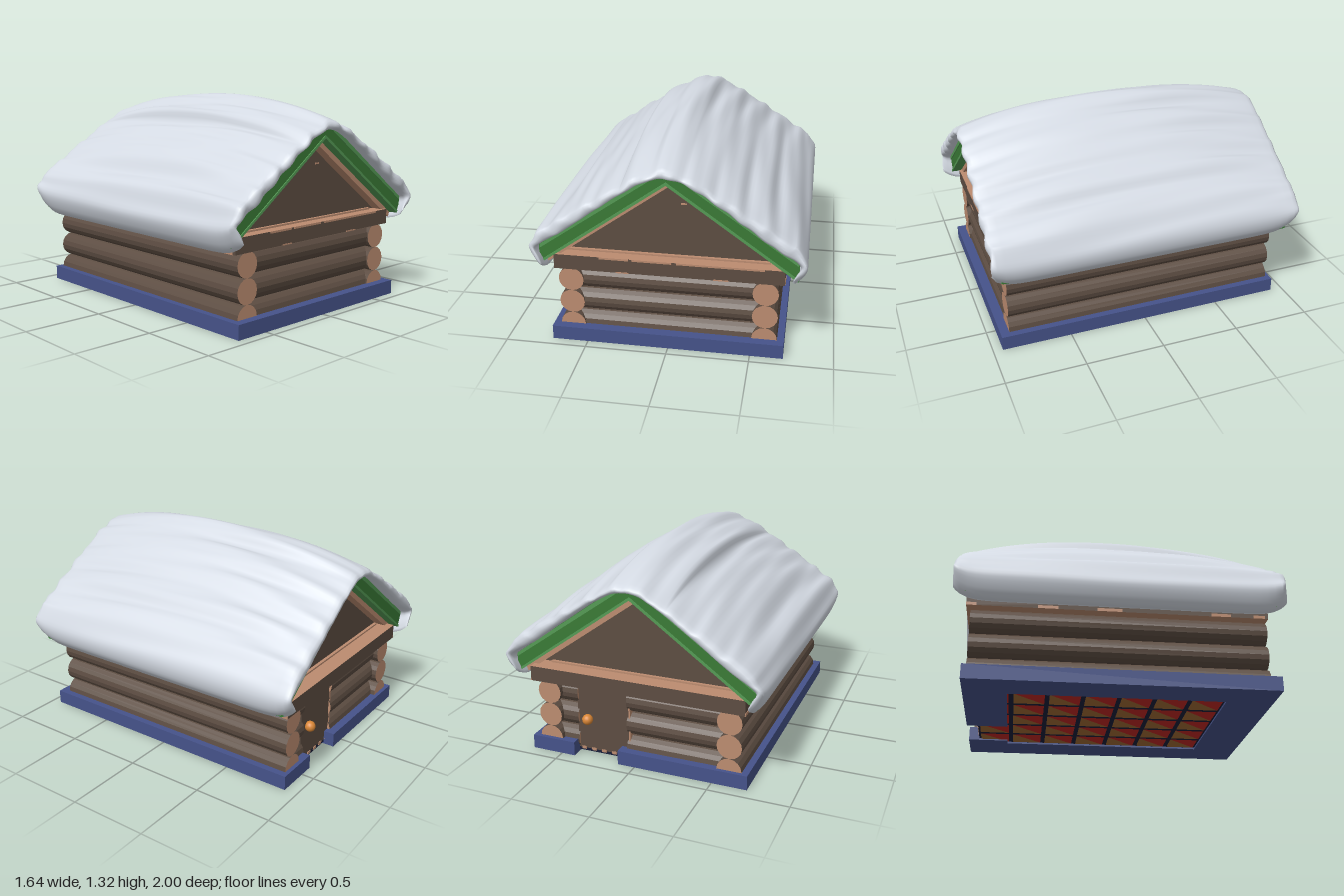
import * as THREE from 'three';

const mat = (name, color) => {
  const m = new THREE.MeshStandardMaterial({ color });
  m.name = name;
  return m;
};

export function createModel() {
  const model = new THREE.Group();
  model.name = 'logCabin';
  const snow = mat('snow', 0xd4dae3), blue = mat('blue', 0x46538a), cutWood = mat('cutWood', 0xbc8c70);
  const brown = mat('brown', 0x5d4d42), green = mat('green', 0x3a7a36), paleGreen = mat('paleGreen', 0x559a55);
  const orange = mat('orange', 0xd98636), red = mat('red', 0xc42823), tan = mat('tan', 0xa46c34);
  const navy = mat('navy', 0x1a1f3a);

  const add = (name, geometry, material, x = 0, y = 0, z = 0) => {
    const mesh = new THREE.Mesh(geometry, material);
    mesh.name = name;
    mesh.position.set(x, y, z);
    model.add(mesh);
    return mesh;
  };
  // box given by its two corners
  const box = (name, material, x0, x1, y0, y1, z0, z1) =>
    add(name, new THREE.BoxGeometry(x1 - x0, y1 - y0, z1 - z0), material,
      (x0 + x1) / 2, (y0 + y1) / 2, (z0 + z1) / 2);
  const shapeOf = pts => new THREE.Shape(pts.map(p => new THREE.Vector2(...p)));
  // prism along z between z0 and z1
  const prism = (name, material, pts, z0, z1) =>
    add(name, new THREE.ExtrudeGeometry(shapeOf(pts), { depth: z1 - z0, bevelEnabled: false }), material, 0, 0, z0);

  // base frame, open at the doorway
  const baseGeo = new THREE.ExtrudeGeometry(shapeOf([
    [0.11, -0.92], [-0.72, -0.92], [-0.72, 0.94], [0.7, 0.94], [0.7, -0.92], [0.41, -0.92],
    [0.41, -0.66], [0.47, -0.66], [0.47, 0.65], [-0.5, 0.65], [-0.5, -0.66], [0.11, -0.66],
  ]), { depth: 0.09, bevelEnabled: false });
  baseGeo.rotateX(Math.PI / 2);
  add('baseFrame', baseGeo, blue, 0, 0.09, 0);

  // floor with two-coloured tiles on its underside, running out to the door
  box('floor', navy, -0.53, 0.5, 0.012, 0.04, -0.85, 0.68);
  const cols = 5, rows = 7, tw = 0.97 / cols, td = 1.5 / rows, a = tw / 2 - 0.014, b = td / 2 - 0.014;
  const halfTile = pts => new THREE.ShapeGeometry(shapeOf(pts)).rotateX(Math.PI / 2);
  const redHalf = halfTile([[-a, -b], [a, b], [-a, b]]);
  const tanHalf = halfTile([[-a, -b], [a, -b], [a, b]]);
  for (let i = 0; i < cols; i++) for (let j = 0; j < rows; j++) {
    const x = -0.5 + (i + 0.5) * tw, z = -0.85 + (j + 0.5) * td;
    add('redTile', redHalf, red, x, 0.008, z);
    add('tanTile', tanHalf, tan, x, 0.008, z);
  }

  // log walls with pale cut ends
  const log = (name, length) => {
    const g = new THREE.CylinderGeometry(0.078, 0.078, length, 16).toNonIndexed();
    g.computeVertexNormals();
    return add(name, g, [brown, cutWood, cutWood]);
  };
  const crossLog = (name, x0, x1, y, z) => {
    const l = log(name, x1 - x0);
    l.rotation.z = Math.PI / 2;
    l.position.set((x0 + x1) / 2, y, z);
  };
  for (const y of [0.09, 0.245, 0.4]) {
    for (const x of [-0.6, 0.58]) {
      const l = log('sideLog', 1.78);
      l.rotation.x = Math.PI / 2;
      l.position.set(x, y, -0.005);
    }
    crossLog('frontLog', -0.6, 0.58, y, 0.8);
    crossLog('backLogLong', -0.6, 0.07, y, -0.79);
    crossLog('backLogShort', 0.4, 0.58, y, -0.79);
  }

  // door, sill pegs and knob on the back
  box('door', brown, 0.06, 0.41, 0.03, 0.47, -0.85, -0.76);
  box('doorJamb', cutWood, 0.052, 0.062, 0.03, 0.47, -0.853, -0.76);
  for (let i = 0; i < 5; i++) box('doorPeg', cutWood, 0.08 + i * 0.07, 0.11 + i * 0.07, 0.022, 0.04, -0.855, -0.76);
  add('doorKnob', new THREE.SphereGeometry(0.034, 16, 12), orange, 0.335, 0.24, -0.87);

  // tie beam layer: brown sides, pale top and underside, worn edges
  box('tieBeams', [brown, brown, cutWood, cutWood, brown, brown], -0.7, 0.69, 0.47, 0.565, -0.92, 0.89);
  for (const [x0, x1] of [[-0.42, -0.24], [-0.22, 0.02], [0.05, 0.57]])
    box('wornBeamTop', cutWood, x0, x1, 0.554, 0.566, 0.88, 0.893);
  for (const [x0, x1] of [[-0.32, -0.24], [0.27, 0.36]])
    box('wornBeamFoot', cutWood, x0, x1, 0.469, 0.476, 0.88, 0.893);
  for (const [z0, z1] of [[0.8, 0.87], [0.54, 0.66], [-0.15, 0], [-0.5, -0.38], [-0.92, -0.86]])
    for (const x of [-0.7, 0.69]) box('wornBeamSide', cutWood, x - 0.003, x + 0.003, 0.469, 0.488, z0, z1);

  // gables and roof layers; cap flattens the ridge under the snow
  const slope = 0.72, cap = 1.14;
  const chevron = (name, material, yIn, yOut, w, zHalf) => {
    const ridge = Math.min(yOut, cap), f = (yOut - ridge) / slope + 0.002;
    prism(name, material, [
      [0, yIn], [w, yIn - slope * w], [w, yOut - slope * w], [f, ridge],
      [-f, ridge], [-w, yOut - slope * w], [-w, yIn - slope * w],
    ], -zHalf, zHalf);
  };
  prism('gables', brown, [[-0.68, 0.56], [0.68, 0.56], [0, 1.06]], -0.8, 0.8);
  for (const z of [-0.81, 0.81]) box('gableSill', cutWood, -0.64, 0.6, 0.56, 0.576, z - 0.01, z + 0.01);
  box('gableFleck', cutWood, 0.065, 0.1, 0.905, 0.915, 0.798, 0.803);
  chevron('gableTrim', cutWood, 1.038, 1.08, 0.75, 0.87);
  chevron('roof', green, 1.078, 1.2, 0.77, 0.93);
  chevron('roofLowerEdge', paleGreen, 1.076, 1.094, 0.765, 0.936);
  for (const s of [-1, 1]) prism('roofUpperEdge', paleGreen,
    [[s * 0.06, 1.122], [s * 0.1, 1.126], [s * 0.765, 0.648], [s * 0.765, 0.626]], -0.936, 0.936);

  add('snowCover', snowGeometry(), snow);
  return model;
}

// Thick snow sheet draped over the roof, lofted along z
function snowGeometry() {
  const curve = pts => new THREE.CatmullRomCurve3(
    pts.map(([x, y]) => new THREE.Vector3(x, y, 0)), false, 'centripetal').getSpacedPoints(110);
  const top = curve([
    [-0.75, 0.48], [-0.785, 0.52], [-0.82, 0.62], [-0.79, 0.69], [-0.75, 0.78], [-0.66, 0.83], [-0.58, 0.93],
    [-0.5, 1.0], [-0.42, 1.05], [-0.33, 1.115], [-0.265, 1.13], [-0.235, 1.215], [-0.1, 1.255], [-0.04, 1.3],
    [0.03, 1.31], [0.09, 1.285], [0.13, 1.235], [0.25, 1.195], [0.31, 1.13], [0.4, 1.08], [0.46, 1.01],
    [0.55, 0.97], [0.61, 0.89], [0.7, 0.83], [0.765, 0.74], [0.815, 0.64], [0.8, 0.55], [0.75, 0.49],
  ]);
  const under = curve([
    [-0.735, 0.48], [-0.75, 0.53], [-0.778, 0.61], [-0.74, 0.665], [-0.6, 0.765], [-0.4, 0.915], [-0.2, 1.055],
    [-0.08, 1.118], [0, 1.13], [0.08, 1.118], [0.2, 1.055], [0.4, 0.915], [0.6, 0.765], [0.74, 0.665],
    [0.778, 0.61], [0.755, 0.54], [0.735, 0.49],
  ]);
  const n = top.length;

  // [z, pinch]: pinch rounds both ends off into a lip
  const sections = [[-1, 1], [-1, 0.55], [-0.985, 0.15]];
  for (let i = 0; i <= 40; i++) sections.push([-0.96 + i * 0.048, 0]);
  sections.push([0.985, 0.15], [0.995, 0.55], [0.995, 1]);

  const pos = [], idx = [], loop = 2 * n;
  for (const [z, pinch] of sections) {
    const end = Math.pow(Math.abs(z), 2.5), lift = 0.08 * Math.pow(Math.abs(z), 16);
    const outer = top.map(p => {
      const lip = Math.min(p.y, 1.245 - 0.64 * Math.sqrt(p.x * p.x + 0.0125));
      const eave = THREE.MathUtils.smoothstep(p.y, 0.5, 0.75);
      // long shallow folds that wander along the roof
      const fold = 0.007 * Math.sin(38 * p.x + 2.2 * Math.sin(2.3 * z + 3 * p.x))
        + 0.004 * Math.sin(71 * p.x - 3 * z);
      return [p.x, THREE.MathUtils.lerp(p.y, lip, end) + fold * eave + lift * (1 - eave)];
    });
    const inner = under.map(p => [p.x, p.y + lift * (1 - THREE.MathUtils.smoothstep(p.y, 0.5, 0.75))]);
    const put = (p, q) => {
      const k = pinch / 2, x = p[0] + (q[0] - p[0]) * k;
      const ripple = z > 0.97 ? 0.008 * Math.sin(48 * x) - 0.004 : 0;
      pos.push(x, p[1] + (q[1] - p[1]) * k, z + ripple);
    };
    for (let i = 0; i < n; i++) put(outer[i], inner[i]);
    for (let i = n - 1; i >= 0; i--) put(inner[i], outer[i]);
  }
  for (let j = 0; j < sections.length - 1; j++) for (let i = 0; i < loop; i++) {
    const p = j * loop + i, q = j * loop + (i + 1) % loop;
    idx.push(p, p + loop, q, q, p + loop, q + loop);
  }
  const g = new THREE.BufferGeometry();
  g.setAttribute('position', new THREE.Float32BufferAttribute(pos, 3));
  g.setIndex(idx);
  g.computeVertexNormals();
  return g;
}
